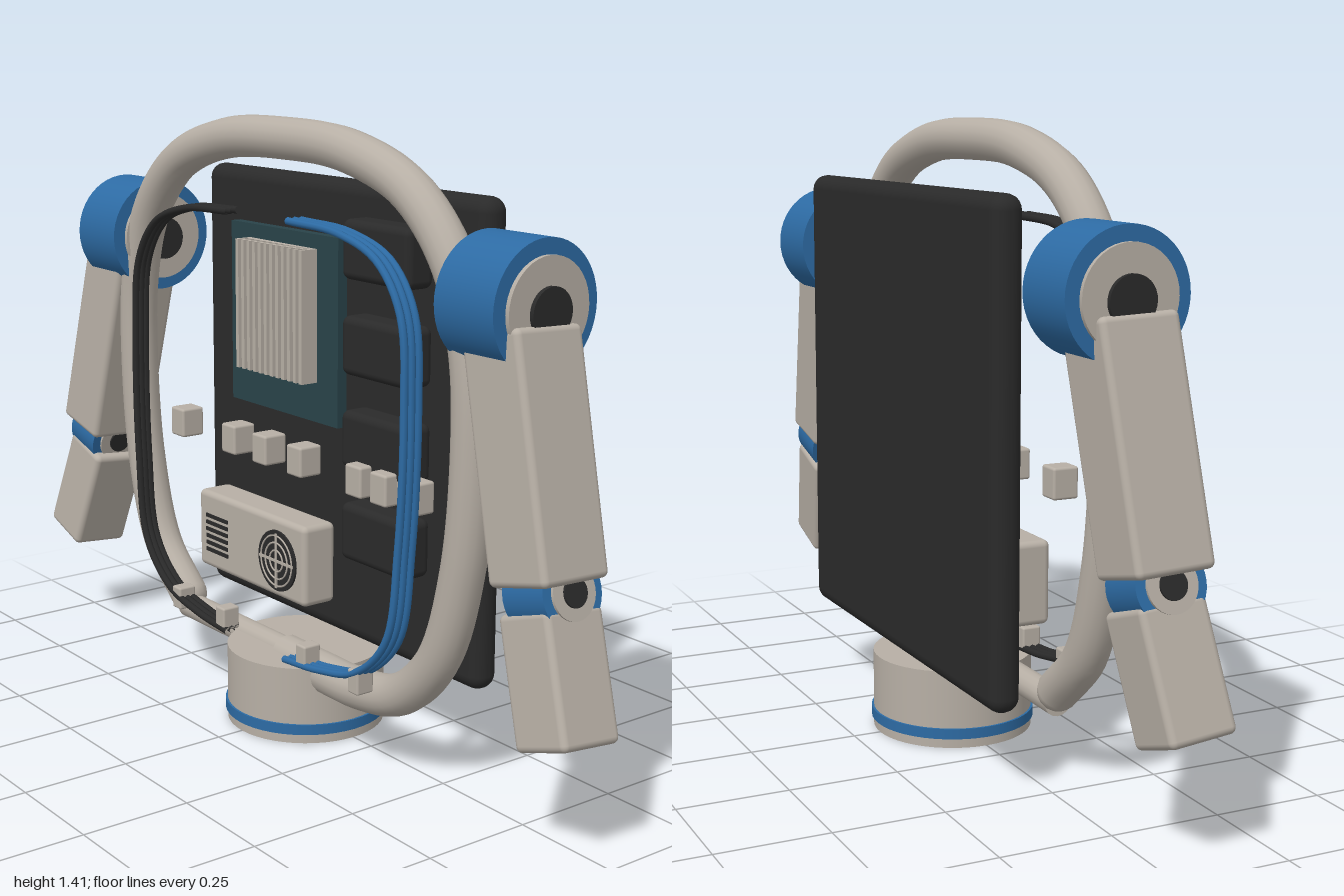
import * as THREE from 'three';
import { RoundedBoxGeometry } from 'three/addons/geometries/RoundedBoxGeometry.js';

const mat = (name, color) => {
  const m = new THREE.MeshStandardMaterial({ color });
  m.name = name;
  return m;
};
const V = (x, y, z) => new THREE.Vector3(x, y, z);

export function createModel() {
  const root = new THREE.Group();
  root.name = 'robotTorso';
  const beige = mat('warmGrey', 0xb7afa5);
  const blue = mat('blue', 0x2d6ba4);
  const dark = mat('charcoal', 0x2a2a2a);
  const teal = mat('boardTeal', 0x294349);

  const add = (parent, name, geo, m, x = 0, y = 0, z = 0) => {
    const mesh = new THREE.Mesh(geo, m);
    mesh.name = name;
    mesh.position.set(x, y, z);
    parent.add(mesh);
    return mesh;
  };
  const rbox = (w, h, d, r) => new RoundedBoxGeometry(w, h, d, 3, r);
  const cylX = (r, l, seg = 40) => new THREE.CylinderGeometry(r, r, l, seg).rotateZ(Math.PI / 2);
  const cylZ = (r, l, seg = 40) => new THREE.CylinderGeometry(r, r, l, seg).rotateX(Math.PI / 2);
  const tube = (pts, r, n, seg) => new THREE.TubeGeometry(new THREE.CatmullRomCurve3(pts), n, r, seg);

  // Base drum with a blue band
  add(root, 'base', new THREE.CylinderGeometry(0.185, 0.185, 0.18, 48), beige, 0, 0.09, 0);
  add(root, 'baseBand', new THREE.CylinderGeometry(0.19, 0.19, 0.024, 48), blue, 0, 0.034, 0);

  // Back panel
  add(root, 'backPanel', rbox(1.03, 1.075, 0.072, 0.034), dark, 0, 0.727, -0.112);

  // Tubular frame: one side profile mirrored over the top
  const side = [[0.24, 1.345], [0.44, 1.275], [0.57, 1.14], [0.625, 0.97], [0.635, 0.78],
    [0.61, 0.52], [0.54, 0.31], [0.42, 0.195]];
  const framePts = [
    ...side.slice().reverse().map(([x, y]) => V(-x, y, 0.055)),
    V(0, 1.36, 0.055),
    ...side.map(([x, y]) => V(x, y, 0.055)),
    V(0.28, 0.162, 0.055), V(0.14, 0.16, 0.055), V(0, 0.16, 0.055),
  ];
  add(root, 'frameTube', tube(framePts, 0.047, 140, 16), beige);
  add(root, 'frameEnd', new THREE.SphereGeometry(0.046, 16, 10), beige, -0.42, 0.195, 0.055);
  add(root, 'frameJoint', cylX(0.032, 0.42, 16), beige, -0.21, 0.168, 0.055);

  // Bundles of three cables: dark on the right, blue on the left
  const run = [[0.12, 1.195], [0.3, 1.185], [0.43, 1.14], [0.505, 1.04], [0.522, 0.85],
    [0.512, 0.55], [0.48, 0.35], [0.38, 0.25], [0.25, 0.215], [0.12, 0.202]];
  for (const [s, m, name] of [[1, blue, 'blueCable'], [-1, dark, 'darkCable']]) {
    for (let i = 0; i < 3; i++) {
      const pts = run.map(([x, y]) => V(s * (x - i * 0.003), y, 0.101 + i * 0.016 + (1.2 - y) * 0.012));
      add(root, name, tube(pts, 0.0085, 70, 8), m);
    }
  }
  for (const x of [-0.33, -0.14, 0.18, 0.37])
    add(root, 'cableClip', rbox(0.036, 0.055, 0.045, 0.005), beige, x, 0.228, 0.128);

  // Circuit board with a finned heat sink
  add(root, 'circuitBoard', new THREE.BoxGeometry(0.415, 0.43, 0.025), teal, -0.095, 0.932, -0.018);
  add(root, 'heatSinkPlate', new THREE.BoxGeometry(0.26, 0.305, 0.012), beige, -0.095, 0.962, 0);
  for (let i = 0; i < 12; i++)
    add(root, 'heatSinkFin', new THREE.BoxGeometry(0.011, 0.305, 0.035), beige, -0.2195 + i * 0.02264, 0.962, 0.02);

  // Dark modules down the left side
  for (let i = 0; i < 4; i++)
    add(root, 'module', rbox(0.225, 0.13, 0.075, 0.018), dark, 0.322, 1.14 - i * 0.208, 0.027);

  // Row of small connectors
  for (const x of [-0.4, -0.18, -0.055, 0.08, 0.295, 0.38, 0.47])
    add(root, 'connector', rbox(0.055, 0.07, 0.06, 0.006), beige, x, 0.65, 0.065);

  // Speaker unit with vent slots and a round grille
  const unit = new THREE.Group();
  unit.name = 'speakerUnit';
  unit.position.set(-0.1, 0.405, 0.045);
  root.add(unit);
  add(unit, 'speakerCase', rbox(0.43, 0.19, 0.09, 0.014), beige);
  for (let i = 0; i < 6; i++)
    add(unit, 'ventSlot', new THREE.BoxGeometry(0.09, 0.009, 0.006), dark, -0.135, 0.037 - i * 0.017, 0.045);
  add(unit, 'grilleDisc', cylZ(0.072, 0.008), dark, 0.115, -0.005, 0.046);
  for (const r of [0.025, 0.043, 0.06])
    add(unit, 'grilleRing', new THREE.TorusGeometry(r, 0.0022, 6, 40), beige, 0.115, -0.005, 0.051);
  for (let i = 0; i < 2; i++)
    add(unit, 'grilleBar', new THREE.BoxGeometry(i ? 0.006 : 0.13, i ? 0.13 : 0.006, 0.004), beige, 0.115, -0.005, 0.051);

  // Arms: s = 1 is the model's left
  for (const s of [1, -1]) {
    const arm = new THREE.Group();
    arm.name = s > 0 ? 'leftArm' : 'rightArm';
    root.add(arm);

    // Box limb running from a to b
    const limb = (name, a, b, w, d) => {
      const up = a.clone().sub(b);
      const len = up.length();
      up.normalize();
      const x = up.clone().cross(V(0, 0, 1)).normalize();
      const z = x.clone().cross(up);
      const c = a.clone().add(b).multiplyScalar(0.5);
      const mesh = add(arm, name, rbox(w, len, d, 0.014), beige, c.x, c.y, c.z);
      mesh.quaternion.setFromRotationMatrix(new THREE.Matrix4().makeBasis(x, up, z));
    };

    // Shoulder
    add(arm, 'shoulder', cylX(0.137, 0.17, 48), blue, s * 0.69, 1.082, 0.003);
    add(arm, 'shoulderDisc', cylX(0.106, 0.19, 40), beige, s * 0.69, 1.08, 0.003);
    add(arm, 'shoulderHub', cylX(0.052, 0.21, 32), dark, s * 0.69, 1.075, 0.003);

    limb('upperArm', V(s * 0.72, 1.035, 0.015), V(s * 0.84, 0.555, 0.036), 0.165, 0.175);

    // Elbow
    const elbow = new THREE.Group();
    elbow.name = 'elbow';
    elbow.position.set(s * 0.845, 0.535, 0.032);
    elbow.rotation.z = s * 0.27;
    arm.add(elbow);
    add(elbow, 'elbowJoint', cylX(0.078, 0.115, 32), blue);
    add(elbow, 'elbowDisc', cylX(0.056, 0.127, 32), beige);
    add(elbow, 'elbowHub', cylX(0.03, 0.137, 24), dark);

    limb('forearm', V(s * 0.84, 0.5, 0.032), V(s * 0.928, 0.246, 0.057), 0.145, 0.15);
  }
  return root;
}
